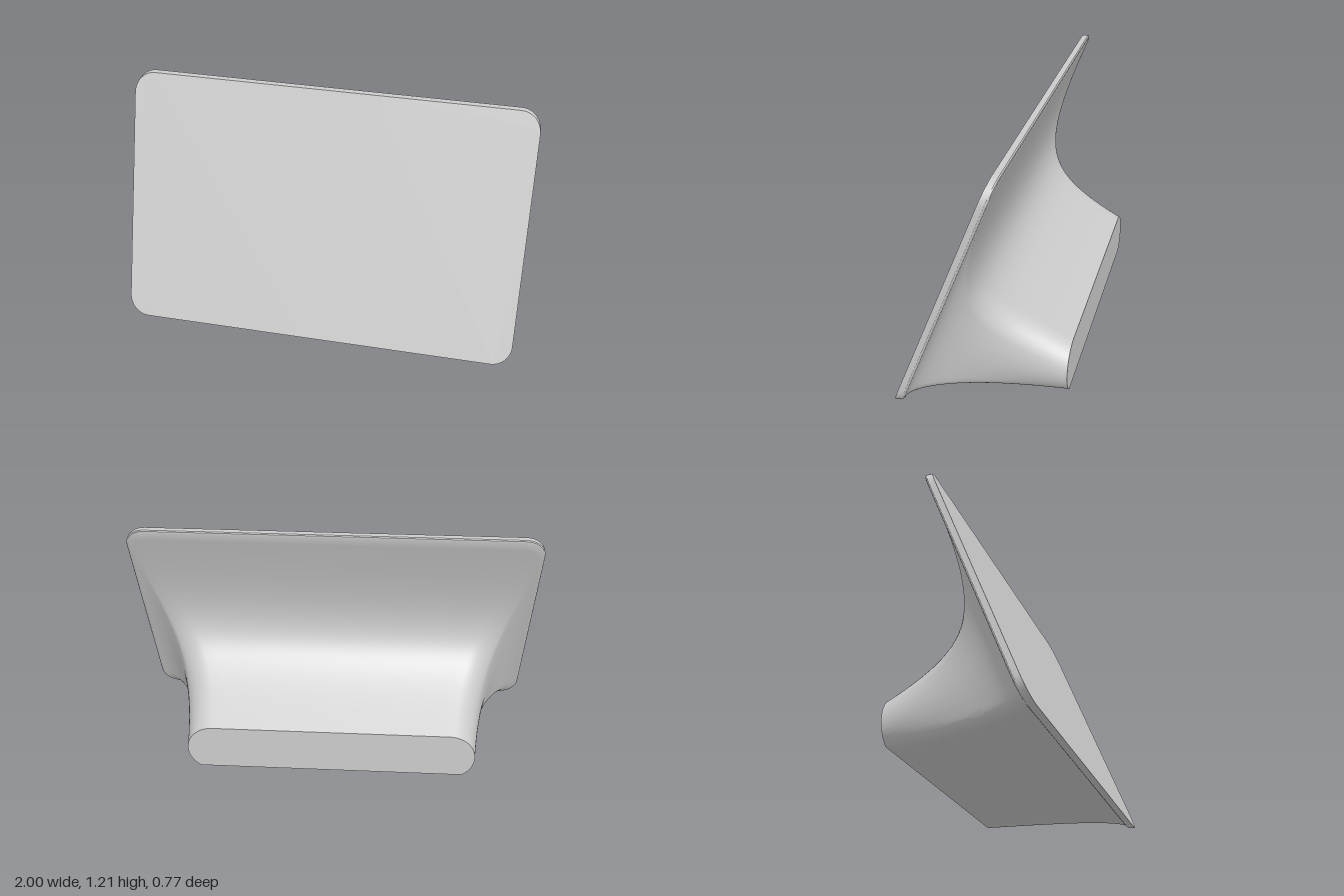
import * as THREE from 'three';
import { toCreasedNormals } from 'three/addons/utils/BufferGeometryUtils.js';

const HALF_W = 1, HEIGHT = 1.205, RADIUS = 0.1;   // tilted panel
const RIM = 0.03, THICK = 0.041;                  // panel depth before / after edge rounding
const END_Z = -0.385;                             // rear end of the foot
const lerp = THREE.MathUtils.lerp;
const frontZ = (y) => 0.385 - 0.394 * y;          // tilted front plane

// Steps along half an outline: top edge, corner, side, corner, bottom edge
const STEPS = [12, 8, 18, 8, 12];

// Calls f(section, fraction) along the right half, then mirrors it into a closed ring
function ring(f) {
  const half = [];
  STEPS.forEach((n, s) => { for (let k = 0; k < n; k++) half.push(f(s, k / n)); });
  half.push(f(4, 1));
  const mirrored = half.slice(1, -1).reverse().map(([x, y]) => [-x, y]);
  return [...half, ...mirrored];
}

// Rounded rectangle of the panel, optionally inset
function panelOutline(inset) {
  const w = HALF_W - inset, top = HEIGHT - inset, r = RADIUS - inset;
  const cx = HALF_W - RADIUS, cTop = HEIGHT - RADIUS, cBot = RADIUS;
  return ring((s, t) => {
    const a = t * Math.PI / 2;
    if (s === 0) return [cx * t, top];
    if (s === 1) return [cx + r * Math.sin(a), cTop + r * Math.cos(a)];
    if (s === 2) return [w, lerp(cTop, cBot, t)];
    if (s === 3) return [cx + r * Math.cos(a), cBot - r * Math.sin(a)];
    return [cx * (1 - t), inset];
  });
}

// Rear end of the foot: rounded sides cut off flat at the bottom
function endOutline() {
  const r = 0.13, cx = 0.595, cy = 0.11;
  const low = -Math.asin(cy / r);
  const angles = [Math.PI / 2, 0.45, -0.7, low];
  return ring((s, t) => {
    if (s === 0) return [cx * t, cy + r];
    if (s === 4) return [(cx + r * Math.cos(low)) * (1 - t), 0];
    const a = lerp(angles[s - 1], angles[s], t);
    return [cx + r * Math.cos(a), cy + r * Math.sin(a)];
  });
}

// Skin through rings of equal length
function loft(rings) {
  const n = rings[0].length, index = [];
  for (let j = 0; j < rings.length - 1; j++) {
    for (let i = 0; i < n; i++) {
      const a = j * n + i, b = j * n + (i + 1) % n;
      index.push(a, b, a + n, b, b + n, a + n);
    }
  }
  const g = new THREE.BufferGeometry();
  g.setAttribute('position', new THREE.Float32BufferAttribute(rings.flat(2), 3));
  g.setIndex(index);
  return toCreasedNormals(g, 0.7);
}

const shapeOf = (pts) => new THREE.Shape(pts.map(([x, y]) => new THREE.Vector2(x, y)));

export function createModel() {
  const group = new THREE.Group();
  const material = new THREE.MeshStandardMaterial({ color: 0xcccccc });
  const add = (name, geometry) => {
    const mesh = new THREE.Mesh(geometry, material);
    mesh.name = name;
    group.add(mesh);
  };

  // Panel: rounded plate sheared back, keeping its top and bottom edges level
  const plate = new THREE.ExtrudeGeometry(shapeOf(panelOutline(0)), { depth: RIM, bevelEnabled: false });
  const p = plate.attributes.position;
  for (let i = 0; i < p.count; i++) p.setZ(i, p.getZ(i) - RIM + frontZ(p.getY(i)));
  add('panel', toCreasedNormals(plate, 0.7));

  // Foot: softened rim of the panel flowing into the narrow rear end
  const rings = [[0, RIM], [0.004, 0.037], [0.013, THICK]].map(([inset, depth]) =>
    panelOutline(inset).map(([x, y]) => [x, y, frontZ(y) - depth]));
  const start = rings[2], end = endOutline();
  const curves = start.map(([x, y, z], i) => {
    const [ex, ey] = end[i];
    const y1 = y * 0.445;
    return new THREE.CubicBezierCurve3(
      new THREE.Vector3(x, y, z),
      new THREE.Vector3(x * 0.87, y1, frontZ(y1) - THICK),
      new THREE.Vector3(ex * 1.06, ey * 2, END_Z + 0.46),
      new THREE.Vector3(ex, ey, END_Z));
  });
  const N = 40;
  for (let j = 1; j <= N; j++) rings.push(curves.map((c) => c.getPoint(j / N).toArray()));
  add('foot', loft(rings));

  // Flat rear face of the foot
  const cap = new THREE.ShapeGeometry(shapeOf(end));
  cap.rotateY(Math.PI);
  cap.translate(0, 0, END_Z);
  add('footRearFace', cap);

  return group;
}
